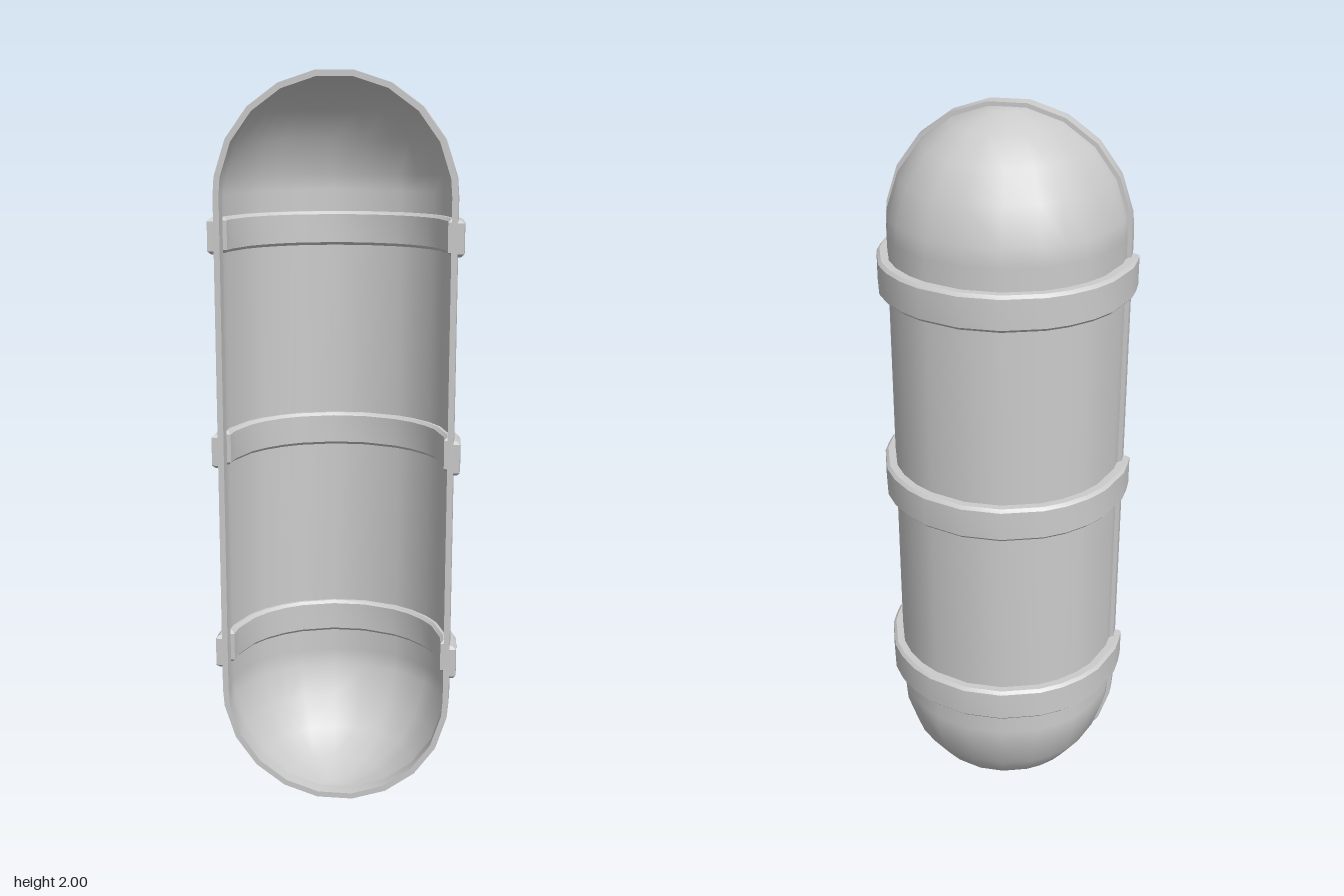
import * as THREE from 'three';
import { toCreasedNormals } from 'three/addons/utils/BufferGeometryUtils.js';

const RIM = 0.042;      // depth of the rim in front of the half shell
const HALF = 0.686;     // half height of the straight wall
const rad = THREE.MathUtils.degToRad;

// Facet angles around the half circle, mirrored about the back
const quarter = [0, 9, 28, 39, 51, 62, 81];
const angles = [...quarter, ...quarter.map(a => 180 - a).reverse()].map(rad);
const steps = [9, 27, 45, 63, 81].map(rad);

const arc = r => angles.map(a => new THREE.Vector2(r * Math.cos(a), r * Math.sin(a)));

// Upright pill outline with faceted round ends
function pill(r) {
  const top = [0, ...steps, ...steps.map(a => Math.PI - a).reverse(), Math.PI]
    .map(a => new THREE.Vector2(r * Math.cos(a), HALF + r * Math.sin(a)));
  return [...top, ...top.map(p => new THREE.Vector2(-p.x, -p.y))];
}

// Half capsule wall, turned around the vertical axis
function shellGeometry(r) {
  const top = [0, ...steps].map(a => new THREE.Vector2(r * Math.cos(a), HALF + r * Math.sin(a)));
  top.push(new THREE.Vector2(0, top[top.length - 1].y + 0.001));
  const profile = [...top.map(p => new THREE.Vector2(p.x, -p.y)).reverse(), ...top];
  const geo = new THREE.LatheGeometry(profile, angles.length - 1, Math.PI / 2, Math.PI);
  const pos = geo.attributes.position;
  for (let i = 0; i < pos.count; i++) {
    const a = angles[Math.floor(i / profile.length)];
    const d = profile[i % profile.length].x;
    pos.setX(i, d * Math.cos(a));
    pos.setZ(i, -d * Math.sin(a));
  }
  geo.computeVertexNormals();
  return geo;
}

// Flat-fronted rim around the opening
function rimGeometry() {
  const shape = new THREE.Shape(pill(0.318));
  shape.holes.push(new THREE.Path(pill(0.302)));
  const geo = new THREE.ExtrudeGeometry(shape, { depth: RIM, bevelEnabled: false });
  return toCreasedNormals(geo, 0.5);
}

// Chamfered band: outside it reaches the rim front, inside it stops behind the rim
function bandGeometry() {
  const V = (x, y) => new THREE.Vector2(x, y);
  const shape = new THREE.Shape([
    V(0.335, -RIM), ...arc(0.335), V(-0.335, -RIM),
    V(-0.303, -RIM), V(-0.303, 0),
    ...arc(0.291).reverse(),
    V(0.303, 0), V(0.303, -RIM),
  ]);
  const c = 0.008;
  const geo = new THREE.ExtrudeGeometry(shape, {
    depth: 0.094 - 2 * c, bevelEnabled: true, bevelSegments: 1,
    bevelSize: c, bevelThickness: c, bevelOffset: -c,
  });
  geo.translate(0, 0, -(0.094 - 2 * c) / 2);
  geo.rotateX(-Math.PI / 2);
  return toCreasedNormals(geo, 0.5);
}

export function createModel() {
  const solid = new THREE.MeshStandardMaterial({ color: 0xcccccc });
  const thin = new THREE.MeshStandardMaterial({ color: 0xcccccc, side: THREE.DoubleSide });
  const pod = new THREE.Group();
  pod.name = 'halfCapsule';

  const add = (name, geo, mat, y) => {
    const mesh = new THREE.Mesh(geo, mat);
    mesh.name = name;
    mesh.position.y = y;
    pod.add(mesh);
  };
  add('shell', shellGeometry(0.307), thin, 1);
  add('rim', rimGeometry(), solid, 1);

  const band = bandGeometry();
  ['lowerBand', 'middleBand', 'upperBand'].forEach((name, i) =>
    add(name, band, solid, 1.004 + (i - 1) * 0.578));

  // The opening looks diagonally towards the front right
  pod.rotation.y = -Math.PI / 4;
  pod.position.set(-0.035, 0, 0.035);

  const model = new THREE.Group();
  model.name = 'model';
  model.add(pod);
  return model;
}
